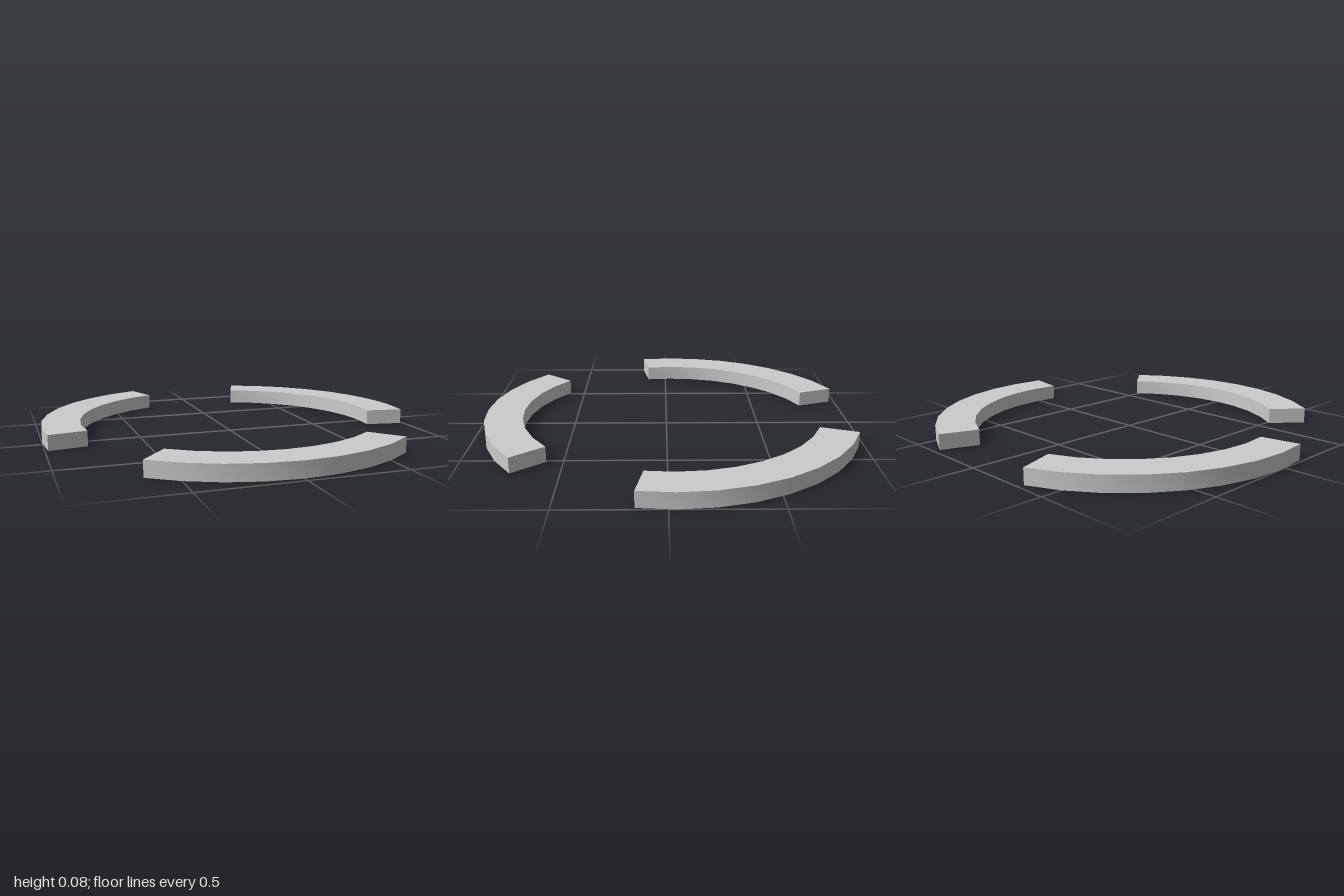
import * as THREE from 'three';
import { toCreasedNormals } from 'three/addons/utils/BufferGeometryUtils.js';

const OUTER = 1, INNER = 0.8, HEIGHT = 0.08;
const SPAN = 80, STEPS = 8; // degrees per segment, facets per segment
const CENTRE_Z = -0.03;

// Flat slab shaped like a piece of a ring, centred on midAngle (0 = +x, 90 = +z)
function ringSegment(midAngle) {
  const outer = [], inner = [];
  for (let i = 0; i <= STEPS; i++) {
    const a = THREE.MathUtils.degToRad(midAngle - SPAN / 2 + (SPAN * i) / STEPS);
    outer.push(new THREE.Vector2(Math.cos(a), Math.sin(a)).multiplyScalar(OUTER));
    inner.unshift(new THREE.Vector2(Math.cos(a), Math.sin(a)).multiplyScalar(INNER));
  }
  const shape = new THREE.Shape([...outer, ...inner]);
  const geometry = new THREE.ExtrudeGeometry(shape, { depth: HEIGHT, bevelEnabled: false });
  geometry.rotateX(Math.PI / 2).translate(0, HEIGHT, CENTRE_Z);
  return toCreasedNormals(geometry, 0.6); // smooth curved walls, sharp edges
}

export function createModel() {
  const group = new THREE.Group();
  group.name = 'segmentedRing';
  const material = new THREE.MeshStandardMaterial({ color: 0xcccccc });

  // Three equal segments, a third of a turn apart
  const segments = { frontSegment: 90, backRightSegment: 210, backLeftSegment: 330 };
  for (const [name, angle] of Object.entries(segments)) {
    const mesh = new THREE.Mesh(ringSegment(angle), material);
    mesh.name = name;
    group.add(mesh);
  }
  return group;
}
